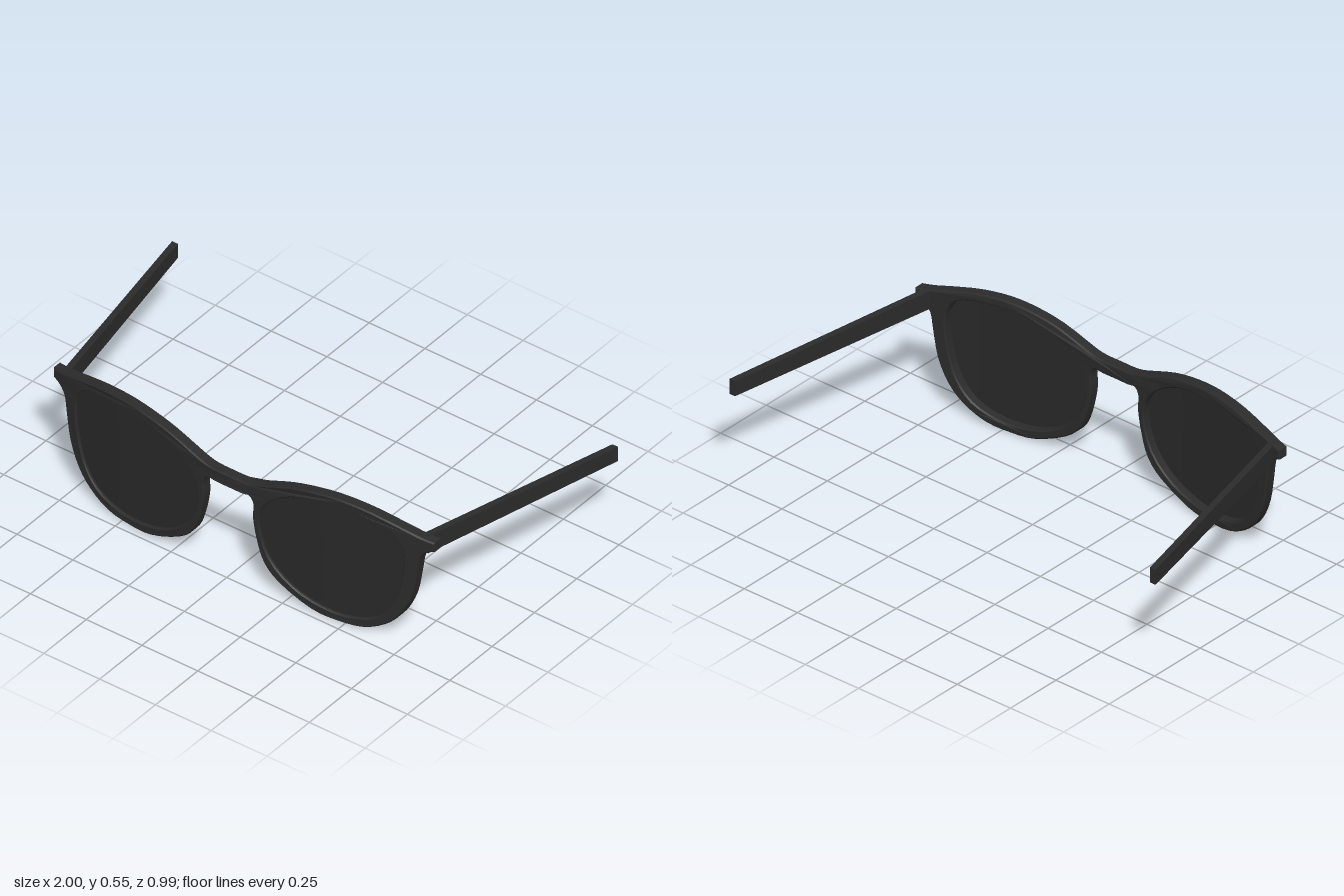
import * as THREE from 'three';
import { toCreasedNormals } from 'three/addons/utils/BufferGeometryUtils.js';

const FRONT = 0.495, THICK = 0.046, BEVEL = 0.005;
const bend = (x) => -0.13 * x * x; // wrap of the front towards the temples

const toVectors = (list) => list.map(([x, y]) => new THREE.Vector2(x, y));

// Upper edge from the bridge to the end piece
const TOP = toVectors([[0, 0.46], [0.07, 0.461], [0.125, 0.473], [0.26, 0.521], [0.38, 0.545],
  [0.49, 0.552], [0.61, 0.541], [0.73, 0.515], [0.8, 0.498], [0.855, 0.49]]);
// Lower edge from the end piece round the rim and back to the bridge
const BOTTOM = toVectors([[0.855, 0.452], [0.82, 0.435], [0.796, 0.4], [0.785, 0.33], [0.765, 0.22],
  [0.722, 0.125], [0.66, 0.06], [0.57, 0.015], [0.465, 0.005], [0.36, 0.015], [0.225, 0.075],
  [0.157, 0.14], [0.125, 0.23], [0.109, 0.32], [0.112, 0.375], [0.095, 0.408], [0.06, 0.405], [0, 0.405]]);
// Lens opening, counterclockwise
const LENS = [[0.735, 0.355], [0.727, 0.435], [0.69, 0.483], [0.6, 0.508], [0.465, 0.515], [0.305, 0.493],
  [0.2, 0.435], [0.147, 0.37], [0.138, 0.29], [0.18, 0.17], [0.28, 0.083], [0.41, 0.043], [0.52, 0.043],
  [0.625, 0.08], [0.685, 0.15], [0.72, 0.25]];

function lensCurve(side) {
  const points = LENS.map(([x, y]) => new THREE.Vector3(side * x, y, 0));
  if (side < 0) points.reverse();
  return new THREE.CatmullRomCurve3(points, true);
}

function bendGeometry(geometry) {
  const p = geometry.attributes.position;
  for (let i = 0; i < p.count; i++) p.setZ(i, p.getZ(i) + bend(p.getX(i)));
  return geometry;
}

// Frame front: one bent plate with two openings
function frameGeometry() {
  const half = [...new THREE.SplineCurve(TOP).getPoints(27), ...new THREE.SplineCurve(BOTTOM).getPoints(51)];
  const mirrored = half.slice(1, -1).reverse().map((p) => new THREE.Vector2(-p.x, p.y));
  const shape = new THREE.Shape([...half, ...mirrored]);
  for (const side of [1, -1]) {
    const rim = lensCurve(side).getPoints(48).slice(0, -1);
    shape.holes.push(new THREE.Path(rim.map((p) => new THREE.Vector2(p.x, p.y))));
  }
  const geometry = new THREE.ExtrudeGeometry(shape, {
    depth: THICK - 2 * BEVEL, bevelThickness: BEVEL, bevelSize: BEVEL, bevelOffset: -BEVEL, bevelSegments: 1,
  });
  geometry.translate(0, 0, FRONT - THICK + BEVEL);
  return toCreasedNormals(bendGeometry(geometry), 0.45);
}

// Lens: a disc stretched to the opening and bent with the frame
function lensGeometry(side) {
  const geometry = new THREE.RingGeometry(0, 1, 48, 6);
  const curve = lensCurve(side);
  const centre = new THREE.Vector3(side * 0.44, 0.28, 0);
  const p = geometry.attributes.position;
  for (let i = 0; i < p.count; i++) {
    const r = Math.hypot(p.getX(i), p.getY(i));
    const t = (Math.atan2(p.getY(i), p.getX(i)) / (2 * Math.PI) + 1) % 1;
    const q = curve.getPoint(t).sub(centre).multiplyScalar(r * 1.01).add(centre);
    p.setXYZ(i, q.x, q.y, FRONT - 0.012);
  }
  bendGeometry(geometry).computeVertexNormals();
  return geometry;
}

// Temple: a box that tapers, drops and splays towards the back
function templeGeometry(side) {
  const geometry = new THREE.BoxGeometry(0.026, 1, 1);
  const p = geometry.attributes.position;
  for (let i = 0; i < p.count; i++) {
    const front = p.getZ(i) > 0;
    p.setXYZ(i,
      p.getX(i) + side * (front ? 0.803 : 0.987),
      p.getY(i) * (front ? 0.076 : 0.063) + (front ? 0.459 : 0.417),
      front ? 0.385 : -0.495);
  }
  geometry.computeVertexNormals();
  return geometry;
}

export function createModel() {
  const frameMaterial = new THREE.MeshStandardMaterial({ name: 'frameBlack', color: 0x2b2b2b });
  const lensMaterial = new THREE.MeshStandardMaterial({ name: 'lensDark', color: 0x292929, side: THREE.DoubleSide });

  const group = new THREE.Group();
  group.name = 'sunglasses';
  const add = (name, geometry, material) => {
    const mesh = new THREE.Mesh(geometry, material);
    mesh.name = name;
    group.add(mesh);
  };

  add('frameFront', frameGeometry(), frameMaterial);
  for (const [side, label] of [[1, 'left'], [-1, 'right']]) {
    add(label + 'Lens', lensGeometry(side), lensMaterial);
    add(label + 'Temple', templeGeometry(side), frameMaterial);
  }
  return group;
}
